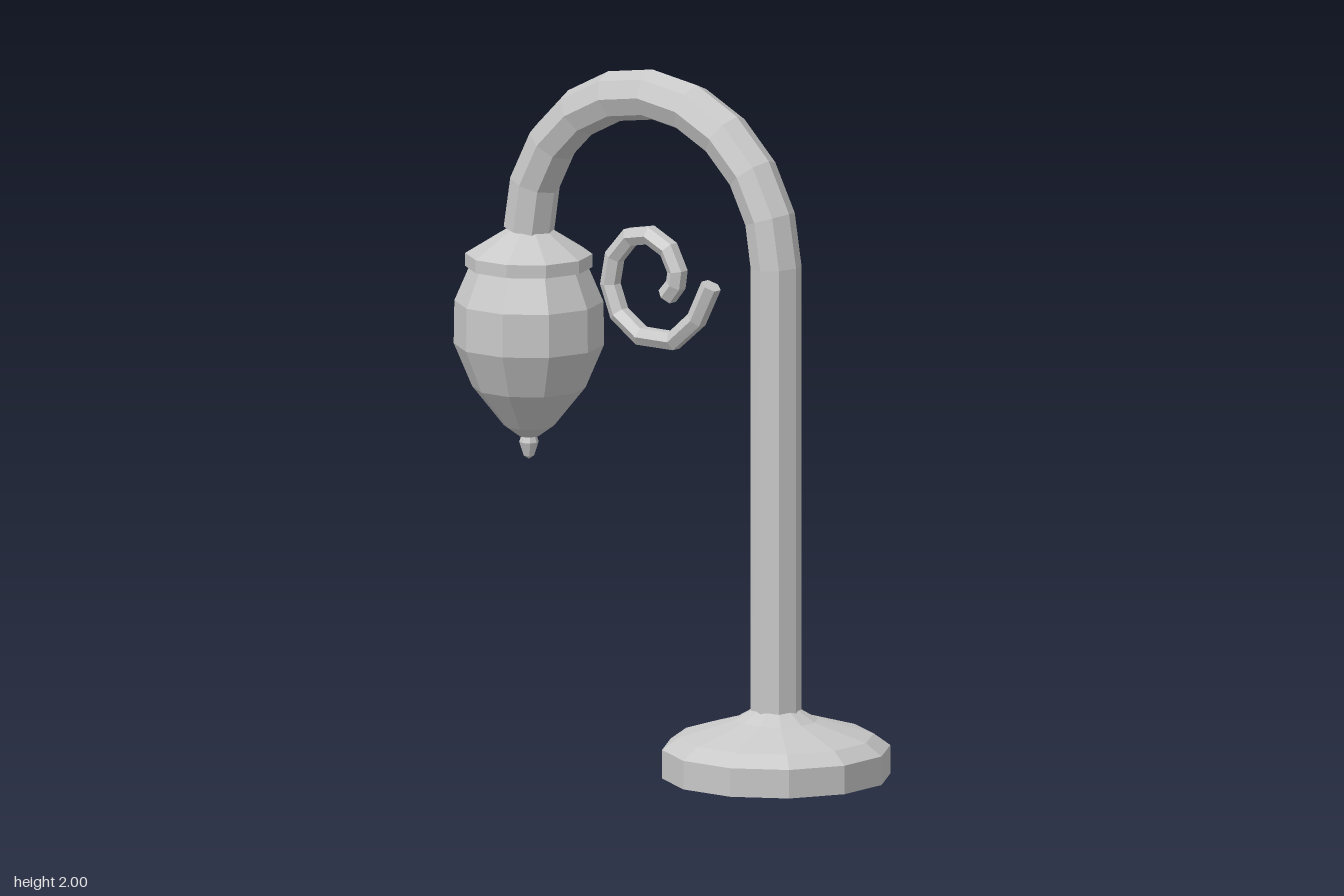
import * as THREE from 'three';

const iron = new THREE.MeshStandardMaterial({ color: 0xc8c8c8, flatShading: true });
iron.name = 'light grey iron';

// Faceted tube along [z, y] points in the x = 0 plane, closed at both ends
function sweep(path, radius, sides) {
  const pts = path.map(([z, y]) => new THREE.Vector3(0, y, z));
  const xAxis = new THREE.Vector3(1, 0, 0);
  const pos = [], index = [];
  const last = pts.length - 1;
  pts.forEach((p, i) => {
    const t = new THREE.Vector3();
    if (i > 0) t.add(p.clone().sub(pts[i - 1]).normalize());
    if (i < last) t.add(pts[i + 1].clone().sub(p).normalize());
    const n = xAxis.clone().cross(t.normalize());
    for (let j = 0; j < sides; j++) {
      const a = (j / sides) * Math.PI * 2;
      const v = p.clone().addScaledVector(xAxis, radius * Math.cos(a)).addScaledVector(n, radius * Math.sin(a));
      pos.push(v.x, v.y, v.z);
    }
  });
  for (let i = 0; i < last; i++) {
    for (let j = 0; j < sides; j++) {
      const a = i * sides + j, b = i * sides + (j + 1) % sides;
      index.push(a, a + sides, b, b, a + sides, b + sides);
    }
  }
  // end caps
  const end = last * sides;
  for (let j = 1; j < sides - 1; j++) {
    index.push(0, j, j + 1, end, end + j + 1, end + j);
  }
  const g = new THREE.BufferGeometry();
  g.setAttribute('position', new THREE.Float32BufferAttribute(pos, 3));
  g.setIndex(index);
  g.computeVertexNormals();
  return g;
}

// Turned part from [radius, y] points listed bottom to top
function turned(profile, sides, phase = 0) {
  return new THREE.LatheGeometry(profile.map(([r, y]) => new THREE.Vector2(r, y)), sides, phase);
}

export function createModel() {
  const model = new THREE.Group();
  model.name = 'streetLamp';
  const add = (name, geometry, z = 0) => {
    const mesh = new THREE.Mesh(geometry, iron);
    mesh.name = name;
    mesh.position.z = z;
    model.add(mesh);
  };

  // Twelve-sided foot
  add('base', turned([[0, 0], [0.328, 0], [0.328, 0.083], [0.28, 0.118], [0.12, 0.165], [0.06, 0.2], [0, 0.2]],
    12, Math.PI / 12), 0.402);

  // Post bending over in a half circle
  const post = [[0.402, 0.1]];
  for (let i = 0; i <= 10; i++) {
    const a = (i / 10) * Math.PI;
    post.push([-0.049 + 0.451 * Math.cos(a), 1.48 + 0.447 * Math.sin(a)]);
  }
  add('post', sweep(post, 0.073, 8));

  // Scroll ornament under the arch
  add('scroll', sweep([
    [0.165, 1.397], [0.112, 1.292], [0.028, 1.22], [-0.09, 1.22], [-0.17, 1.275], [-0.203, 1.357], [-0.187, 1.439],
    [-0.13, 1.503], [-0.058, 1.517], [0.01, 1.484], [0.042, 1.423], [0.036, 1.384], [0.005, 1.347],
  ], 0.03, 6));

  // Lantern hanging from the end of the arch
  add('lanternCap', turned([[0, 1.37], [0.182, 1.37], [0.182, 1.408], [0.065, 1.48], [0, 1.48]], 10), -0.5);
  add('lanternGlobe', turned([[0, 0.875], [0.03, 0.878], [0.072, 0.908], [0.162, 1.02], [0.215, 1.145],
    [0.213, 1.27], [0.168, 1.375]], 10), -0.5);
  add('finial', turned([[0, 0.81], [0.015, 0.82], [0.028, 0.86], [0.02, 0.885]], 8), -0.5);

  return model;
}
